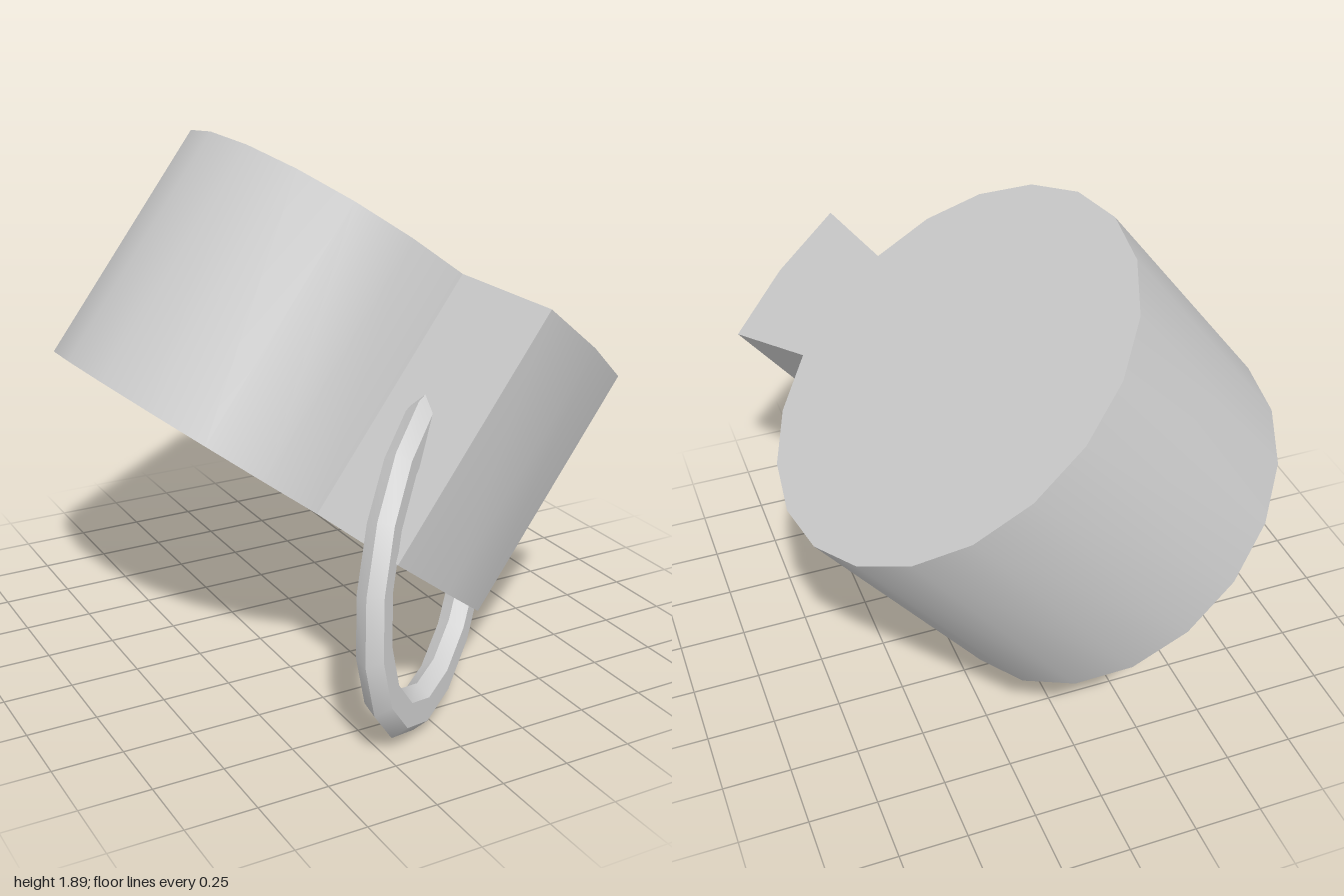
import * as THREE from 'three';
import { toCreasedNormals } from 'three/addons/utils/BufferGeometryUtils.js';

const grey = new THREE.MeshStandardMaterial({ color: 0xcccccc });

// Place a mesh with its local y and z axes along given directions.
function place(mesh, yDir, zDir, centre) {
  const z = zDir.clone().normalize();
  const x = yDir.clone().cross(z).normalize();
  const y = z.clone().cross(x);
  mesh.applyMatrix4(new THREE.Matrix4().makeBasis(x, y, z).setPosition(centre));
}

export function createModel() {
  const group = new THREE.Group();
  const axis = new THREE.Vector3(0.609, 0.792, -0.037).normalize();

  // Body: 20-sided disc with a flared lug, whose outer arc replaces one rim corner
  const points = [];
  const polar = (radius, degrees) => {
    const a = THREE.MathUtils.degToRad(degrees);
    points.push(new THREE.Vector2(radius * Math.cos(a), radius * Math.sin(a)));
  };
  for (const degrees of [3.35, 18, 32.65]) polar(1.158, degrees);
  for (let i = 2; i <= 20; i++) polar(0.732, i * 18);
  const bodyGeometry = new THREE.ExtrudeGeometry(new THREE.Shape(points), {
    depth: 0.953, bevelEnabled: false, steps: 1,
  });
  const body = new THREE.Mesh(toCreasedNormals(bodyGeometry, 0.5), grey);
  body.name = 'bodyWithLug';
  place(body, new THREE.Vector3(0.793, -0.61, 0), axis, new THREE.Vector3(-0.29, 0.686, -0.23));
  group.add(body);

  // Ring: stretched low-poly loop passing through the lug
  const ringGeometry = new THREE.TorusGeometry(0.375, 0.057, 6, 16);
  ringGeometry.scale(1, 1.45, 1);
  const ring = new THREE.Mesh(toCreasedNormals(ringGeometry, 0.6), grey);
  ring.name = 'ring';
  place(ring, axis, new THREE.Vector3(0.554, 0.082, 0.827), new THREE.Vector3(0.05, 0.57, 0.69));
  group.add(ring);

  return group;
}
